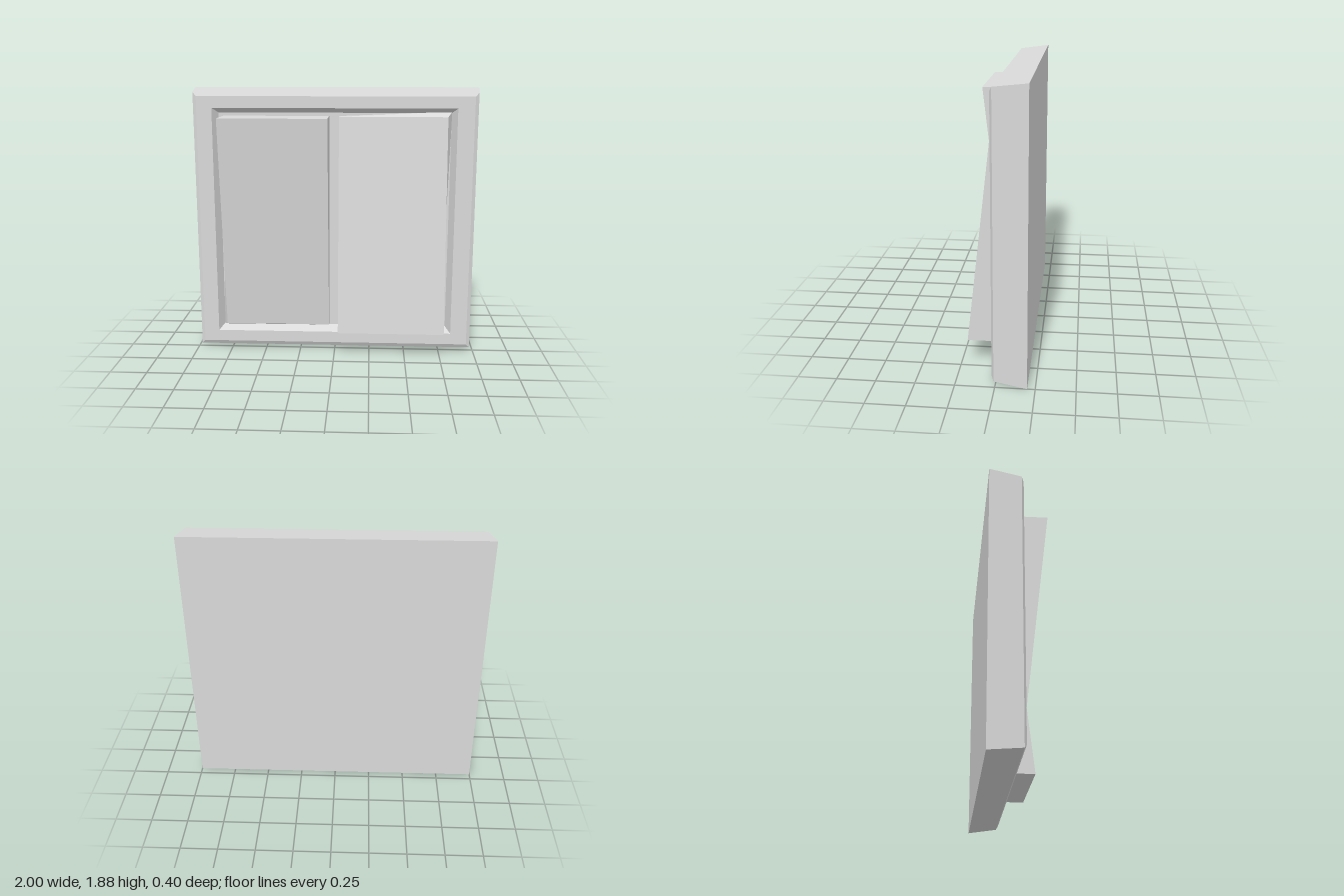
import * as THREE from 'three';

const CENTRE_Y = 0.9375;

// Flat-faced loft through four-cornered rings, listed counter-clockwise seen from +z
function loft(rings, capBack = true) {
  const pos = [];
  const quad = (a, b, c, d) => pos.push(...a, ...b, ...c, ...a, ...c, ...d);
  for (let r = 0; r < rings.length - 1; r++) {
    const p = rings[r], q = rings[r + 1];
    for (let i = 0; i < 4; i++) {
      const j = (i + 1) % 4;
      quad(p[i], p[j], q[j], q[i]);
    }
  }
  const first = rings[0], last = rings[rings.length - 1];
  if (capBack) quad(first[3], first[2], first[1], first[0]);
  quad(...last);
  const geometry = new THREE.BufferGeometry();
  geometry.setAttribute('position', new THREE.Float32BufferAttribute(pos, 3));
  geometry.computeVertexNormals();
  return geometry;
}

// Rectangular ring: half width, half height, depth
const ring = (w, h, z, x = 0) => [
  [x - w, -h, z], [x + w, -h, z], [x + w, h, z], [x - w, h, z],
];

export function createModel() {
  const model = new THREE.Group();
  model.name = 'doubleRockerSwitch';
  const plastic = new THREE.MeshStandardMaterial({ color: 0xd9d9d9, flatShading: true });
  plastic.name = 'light grey plastic';

  // Tapered frame with bevelled front edge and a sloping recess
  const frame = new THREE.Mesh(loft([
    ring(1, 0.9375, -0.2),
    ring(0.975, 0.912, 0.01),
    ring(0.95, 0.885, 0.025),
    ring(0.84, 0.805, 0.025, -0.005),
    ring(0.805, 0.77, -0.04, -0.005),
  ]), plastic);
  frame.name = 'frame';
  frame.position.y = CENTRE_Y;
  model.add(frame);

  // Wedge rocker, flared at the outer corner of its sunken end
  const h = 0.7475;
  const rockerGeometry = loft([
    [[-0.81, -0.78, -0.045], [-0.035, -h, -0.045], [-0.035, h, -0.045], [-0.77, h, -0.045]],
    [[-0.775, -h, 0.03], [-0.035, -h, 0.03], [-0.035, h, 0.2], [-0.775, h, 0.2]],
  ]);

  // The second rocker is the first turned half way round
  ['rightRocker', 'leftRocker'].forEach((name, i) => {
    const rocker = new THREE.Mesh(rockerGeometry, plastic);
    rocker.name = name;
    rocker.position.set(-0.005, CENTRE_Y, 0);
    rocker.rotation.z = i * Math.PI;
    model.add(rocker);
  });

  return model;
}
